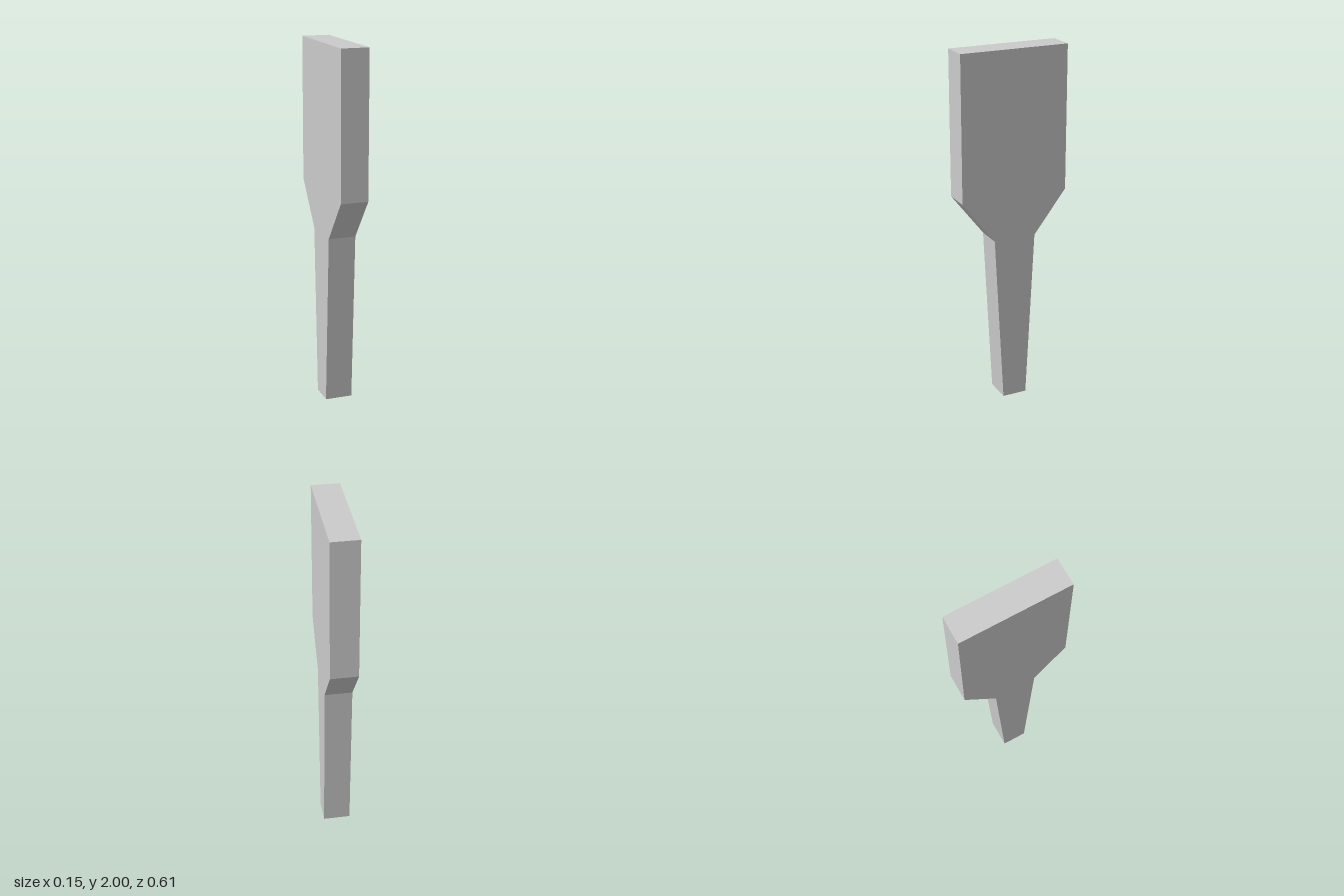
import * as THREE from 'three';

// Half-width (along z) and height of each corner, from the handle end up
const PROFILE = [[0.07, 0], [0.12, 0.96], [0.306, 1.2], [0.306, 2]];
const THICKNESS = 0.153;

export function createModel() {
  const group = new THREE.Group();
  group.name = 'paddle';

  // Tapered handle, sloped shoulders and flat blade as one mirrored outline
  const right = PROFILE.map(([w, y]) => new THREE.Vector2(w, y));
  const left = PROFILE.map(([w, y]) => new THREE.Vector2(-w, y)).reverse();
  const outline = new THREE.Shape([...right, ...left]);

  // Extrude along x, centred on the thickness
  const geometry = new THREE.ExtrudeGeometry(outline, { depth: THICKNESS, bevelEnabled: false });
  geometry.translate(0, 0, -THICKNESS / 2);
  geometry.rotateY(Math.PI / 2);

  const material = new THREE.MeshStandardMaterial({ color: 0xcccccc, flatShading: true });
  const body = new THREE.Mesh(geometry, material);
  body.name = 'bladeAndHandle';
  group.add(body);
  return group;
}
